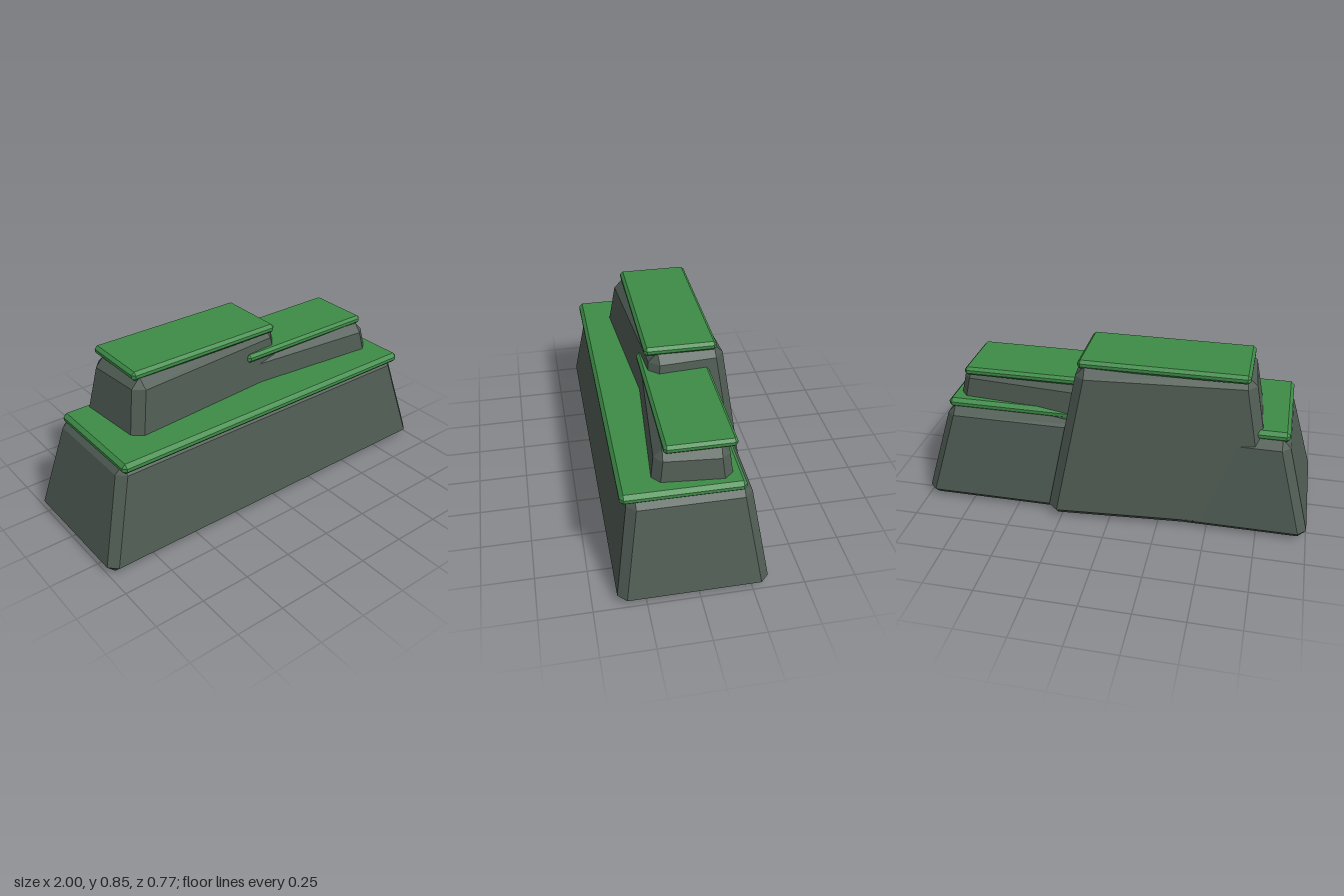
import * as THREE from 'three';

// Eight corners of a rectangle with cut corners, counterclockwise from above
function ring(y, a, b, c) {
  const p = a - c, q = b - c;
  return [[a, q], [a, -q], [p, -b], [-p, -b], [-a, -q], [-a, q], [-p, b], [p, b]]
    .map(([x, z]) => new THREE.Vector3(x, y, z));
}

// Box with cut edges whose sides may lean inwards; low and high are half sizes [x, z]
function chamferedBlock(y0, y1, low, high, c) {
  const [a, b] = low, [p, q] = high;
  const rings = [
    ring(y0, a - c, b - c, 0),
    ring(y0 + c, a, b, c),
    ring(y1 - c, p, q, c),
    ring(y1, p - c, q - c, 0),
  ];
  const points = [];
  const tri = (u, v, w) => {
    if (!u.equals(v) && !v.equals(w) && !w.equals(u)) points.push(u, v, w);
  };
  for (let r = 0; r < 3; r++) {
    for (let i = 0; i < 8; i++) {
      const j = (i + 1) % 8, L = rings[r], U = rings[r + 1];
      tri(L[i], L[j], U[j]);
      tri(L[i], U[j], U[i]);
    }
  }
  // Flat bottom and top
  for (let i = 1; i < 7; i++) {
    tri(rings[0][0], rings[0][i + 1], rings[0][i]);
    tri(rings[3][0], rings[3][i], rings[3][i + 1]);
  }
  const geometry = new THREE.BufferGeometry().setFromPoints(points);
  geometry.computeVertexNormals();
  return geometry;
}

export function createModel() {
  const stone = new THREE.MeshStandardMaterial({ color: 0x4f5b53, flatShading: true });
  stone.name = 'dark stone';
  const grass = new THREE.MeshStandardMaterial({ color: 0x3d8b47, flatShading: true });
  grass.name = 'grass green';

  const model = new THREE.Group();
  model.name = 'rockLedges';

  const add = (name, geometry, material, x, z, turn = 0) => {
    const mesh = new THREE.Mesh(geometry, material);
    mesh.name = name;
    mesh.position.set(x, 0, z);
    mesh.rotation.y = turn;
    model.add(mesh);
  };

  // Leaning rocks
  add('wideRock', chamferedBlock(0, 0.515, [1, 0.356], [0.88, 0.288], 0.041), stone, 0, 0.027);
  add('tallRock', chamferedBlock(0, 0.815, [0.583, 0.282], [0.442, 0.19], 0.047), stone, -0.243, -0.062, 0.075);
  add('middleRock', chamferedBlock(0, 0.692, [0.53, 0.247], [0.406, 0.172], 0.04), stone, 0.39, -0.027, -0.085);

  // Grass slabs on the rock tops
  const slab = (name, y0, y1, a, b, x, z, c) =>
    add(name, chamferedBlock(y0, y1, [a, b], [a, b], c), grass, x, z);
  slab('wideGrass', 0.5, 0.553, 0.873, 0.287, 0, 0.058, 0.018);
  slab('tallGrass', 0.802, 0.848, 0.42, 0.181, -0.243, -0.062, 0.015);
  slab('middleGrass', 0.683, 0.727, 0.391, 0.167, 0.39, -0.033, 0.014);

  return model;
}
